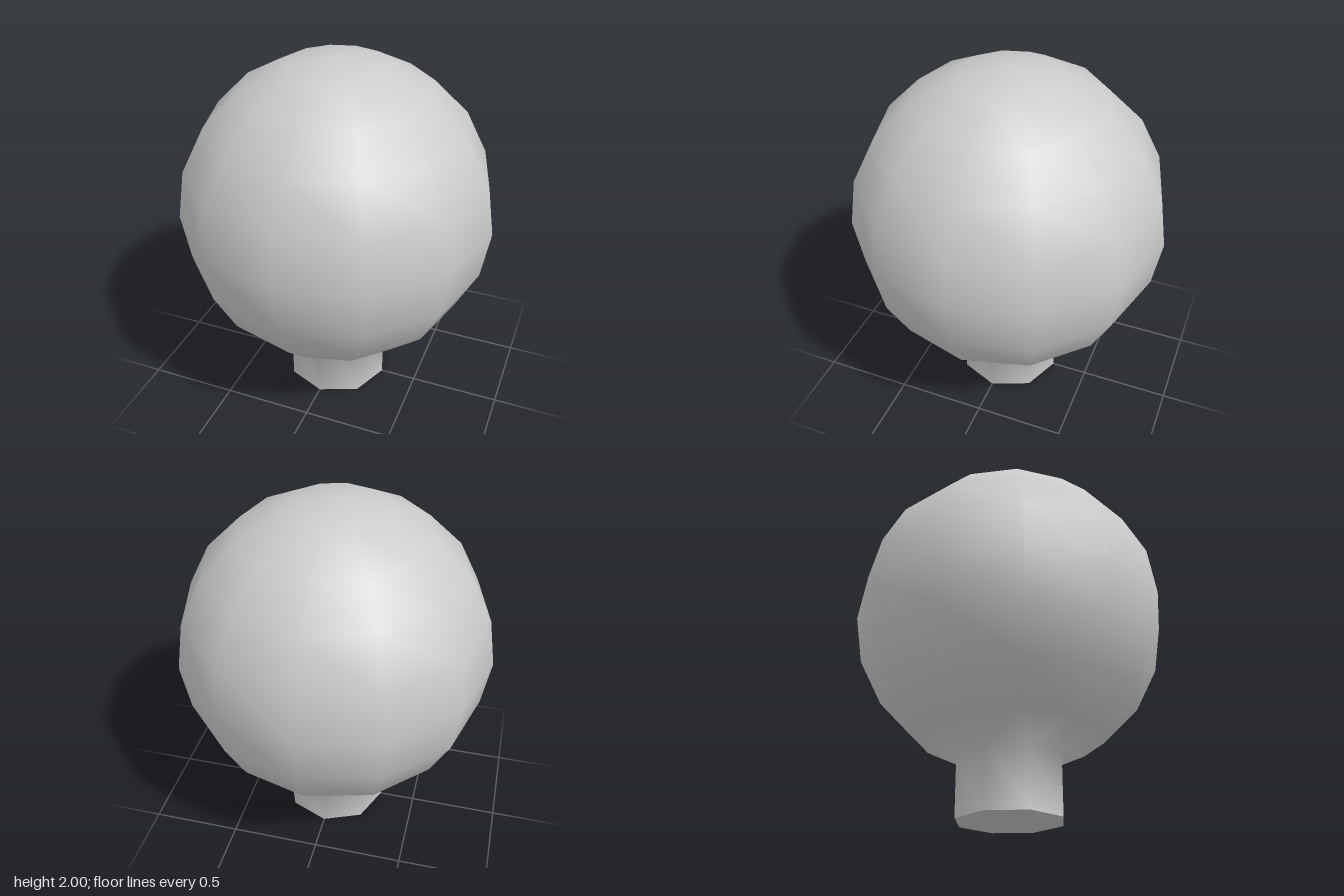
import * as THREE from 'three';

const BALL_R = 0.866, BALL_Y = 1.134, NECK_R = 0.295, NECK_TOP = 0.328;

// Smooth skin through a stack of rings { r, y, n }, listed from top to bottom.
// Neighbouring rings may have different vertex counts.
function skinRings(rings) {
  const positions = [], index = [], starts = [];
  for (const { r, y, n } of rings) {
    starts.push(positions.length / 3);
    for (let i = 0; i < n; i++) {
      const a = (i / n) * Math.PI * 2;
      positions.push(r * Math.sin(a), y, r * Math.cos(a));
    }
  }
  for (let k = 0; k + 1 < rings.length; k++) {
    const na = rings[k].n, nb = rings[k + 1].n;
    const upper = (i) => starts[k] + (i % na);
    const lower = (j) => starts[k + 1] + (j % nb);
    let i = 0, j = 0;
    while (i < na || j < nb) {
      if (j < nb && (i >= na || (j + 1) / nb <= (i + 1) / na)) {
        index.push(upper(i), lower(j), lower(j + 1));
        j++;
      } else {
        if (na > 1) index.push(upper(i), lower(j), upper(i + 1));
        i++;
      }
    }
  }
  const geometry = new THREE.BufferGeometry();
  geometry.setAttribute('position', new THREE.Float32BufferAttribute(positions, 3));
  geometry.setIndex(index);
  geometry.computeVertexNormals();
  return geometry;
}

export function createModel() {
  const group = new THREE.Group();
  group.name = 'ballKnob';
  const material = new THREE.MeshStandardMaterial({ color: 0xcccccc });

  // Twelve-sided ball: a pole and eight rings, 18 degrees apart
  const rings = [{ r: 0, y: BALL_Y + BALL_R, n: 1 }];
  for (let k = 1; k <= 8; k++) {
    const a = (k * Math.PI) / 10;
    rings.push({ r: BALL_R * Math.sin(a), y: BALL_Y + BALL_R * Math.cos(a), n: 12 });
  }
  // Eight-sided neck, blended into the ball
  rings.push({ r: NECK_R, y: NECK_TOP, n: 8 }, { r: NECK_R, y: 0, n: 8 });
  const body = new THREE.Mesh(skinRings(rings), material);
  body.name = 'ballAndNeck';
  group.add(body);

  // Flat underside of the neck
  const base = new THREE.Mesh(new THREE.CircleGeometry(NECK_R, 8).rotateX(Math.PI / 2), material);
  base.name = 'neckBase';
  group.add(base);

  return group;
}
